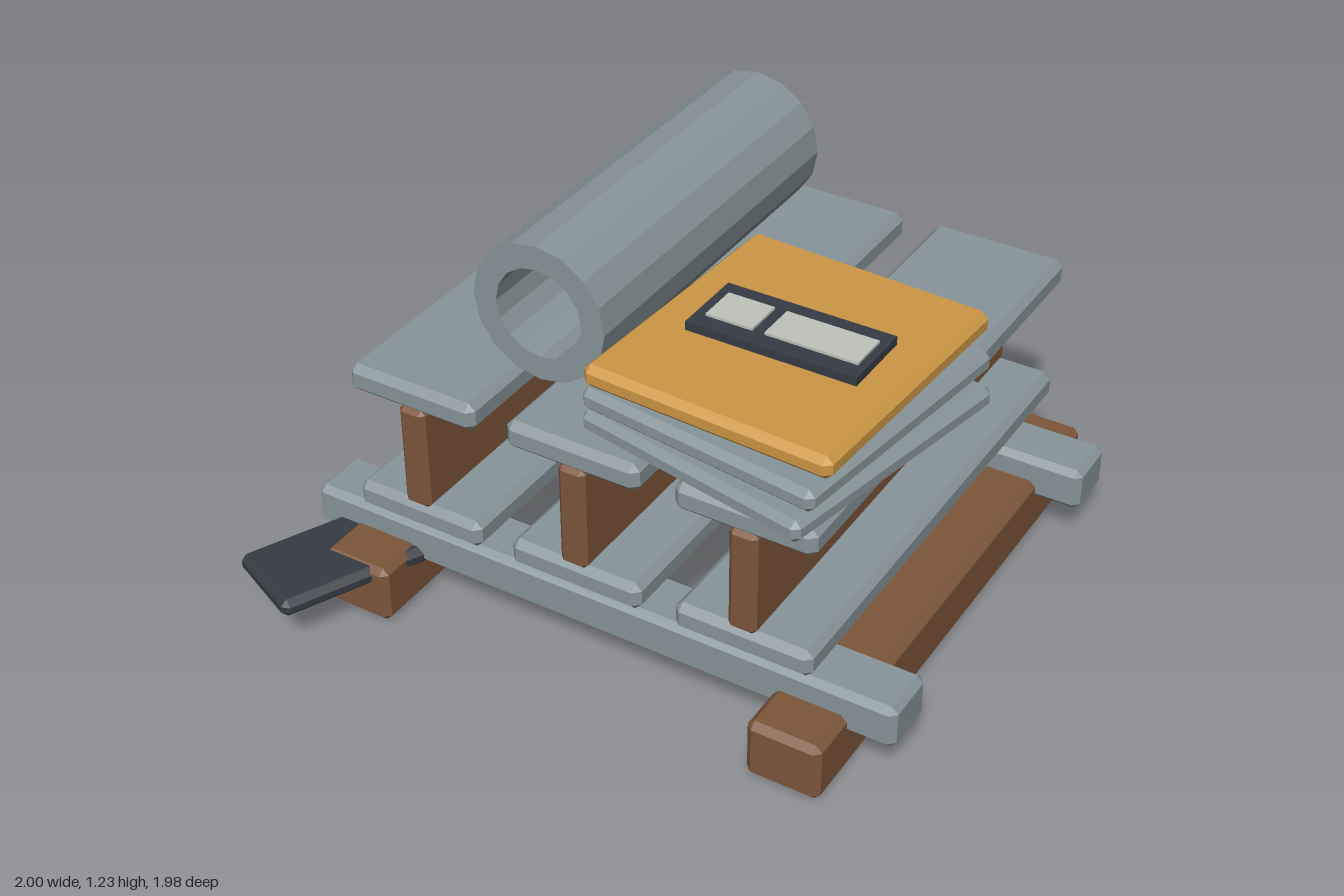
import * as THREE from 'three';
import { ConvexGeometry } from 'three/addons/geometries/ConvexGeometry.js';

const mat = (name, color) => {
  const m = new THREE.MeshStandardMaterial({ color });
  m.name = name;
  return m;
};

// Box with every edge and corner cut by the bevel b
function bevelBox(w, h, d, b) {
  const pts = [];
  for (const sx of [-1, 1]) for (const sy of [-1, 1]) for (const sz of [-1, 1]) {
    for (let face = 0; face < 3; face++) {
      const inset = [b, b, b];
      inset[face] = 0;
      pts.push(new THREE.Vector3(
        sx * (w / 2 - inset[0]), sy * (h / 2 - inset[1]), sz * (d / 2 - inset[2])));
    }
  }
  return new ConvexGeometry(pts);
}

export function createModel() {
  const model = new THREE.Group();
  model.name = 'buildingMaterialsStack';

  const steel = mat('steelGrey', 0x87959a);
  const wood = mat('woodBrown', 0x7d563b);
  const gold = mat('goldYellow', 0xcd9744);
  const dark = mat('darkGrey', 0x363b43);
  const pale = mat('paleGrey', 0xbfc3bb);

  const add = (name, geometry, material, x, y, z, turn = 0, parent = model) => {
    const mesh = new THREE.Mesh(geometry, material);
    mesh.name = name;
    mesh.position.set(x, y, z);
    mesh.rotation.y = turn;
    parent.add(mesh);
    return mesh;
  };

  // Wooden skids along z, with steel crossbars over them
  const skid = bevelBox(0.228, 0.19, 1.735, 0.02);
  add('rightSkid', skid, wood, -0.693, 0.095, -0.128);
  add('leftSkid', skid, wood, 0.741, 0.095, -0.128);
  const crossbar = bevelBox(1.94, 0.14, 0.188, 0.02);
  add('frontCrossbar', crossbar, steel, 0.025, 0.2, 0.487);
  add('backCrossbar', crossbar, steel, 0.025, 0.2, -0.741);

  // Three I-beams
  const flange = bevelBox(0.43, 0.09, 1.585, 0.022);
  const web = bevelBox(0.088, 0.34, 1.585, 0.015);
  for (const x of [-0.54, -0.003, 0.537]) {
    const beam = new THREE.Group();
    beam.name = 'beam';
    model.add(beam);
    add('lowerFlange', flange, steel, x, 0.335, -0.18, 0, beam);
    add('web', web, wood, x, 0.54, -0.18, 0, beam);
    add('upperFlange', flange, steel, x, 0.745, -0.18, 0, beam);
  }

  // Hollow 16-sided pipe lying along z
  const R = 0.216, r = 0.141, half = 0.602;
  const profile = [[R, -half], [R, half], [r, half], [r, -half], [R, -half]]
    .map(([a, b]) => new THREE.Vector2(a, b));
  const pipe = new THREE.LatheGeometry(profile, 16).toNonIndexed();
  pipe.computeVertexNormals();
  pipe.rotateX(Math.PI / 2);
  add('pipe', pipe, steel, -0.234, 1.015, -0.202);

  // Stack of fanned sheets, gold one on top
  const sheet = bevelBox(0.76, 0.07, 0.84, 0.02);
  add('lowerSheet', sheet, steel, 0.457, 0.85, 0.23, -0.19);
  add('middleSheet', sheet, steel, 0.457, 0.945, 0.23, -0.13);
  add('topSheet', sheet, gold, 0.457, 1.045, 0.23, -0.055);

  // Label plate with two pale fields
  add('labelPlate', new THREE.BoxGeometry(0.515, 0.027, 0.228), dark, 0.459, 1.0925, 0.23);
  add('smallLabelField', new THREE.BoxGeometry(0.143, 0.009, 0.122), pale, 0.306, 1.1095, 0.23);
  add('largeLabelField', new THREE.BoxGeometry(0.278, 0.009, 0.122), pale, 0.553, 1.1095, 0.23);

  // Dark tongue set at an angle through the front right skid
  add('towTongue', bevelBox(0.295, 0.06, 0.72, 0.02), dark, -0.729, 0.155, 0.608, -0.425);

  return model;
}
